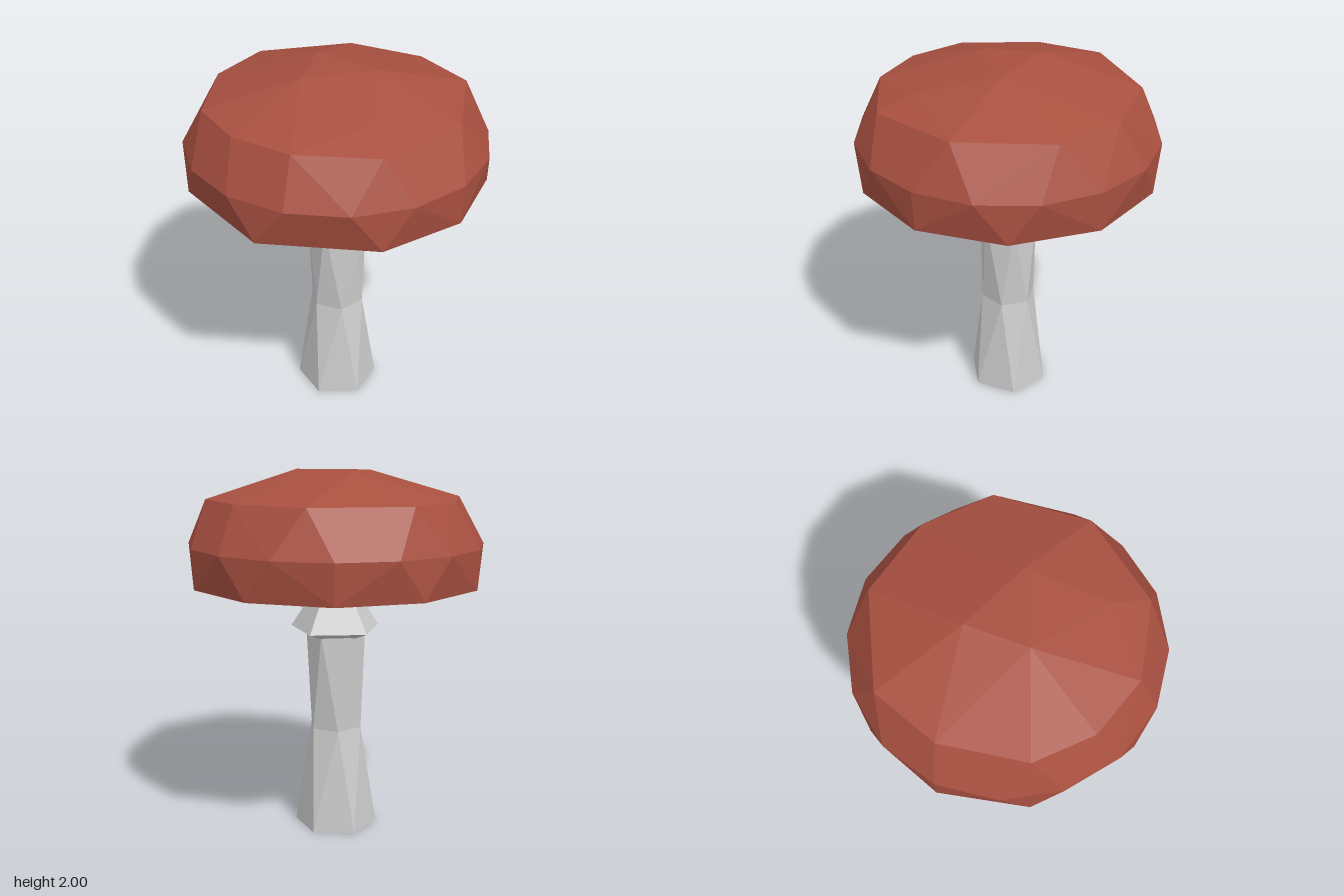
import * as THREE from 'three';
import { ConvexGeometry } from 'three/addons/geometries/ConvexGeometry.js';

// Point on a ring; angle in degrees from the front (+z) towards +x
const polar = (deg, r, y) => {
  const a = THREE.MathUtils.degToRad(deg);
  return new THREE.Vector3(Math.sin(a) * r, y, Math.cos(a) * r);
};

// Faceted closed loft through rings given as [y, radius, twist]
function facetedLoft(sides, rings) {
  const pts = [];
  const loops = rings.map(([y, r, twist]) =>
    Array.from({ length: sides }, (_, i) => polar(twist + (i * 360) / sides, r, y)));
  for (let k = 0; k < loops.length - 1; k++) {
    const a = loops[k], b = loops[k + 1];
    for (let i = 0; i < sides; i++) {
      const j = (i + 1) % sides;
      pts.push(a[i], a[j], b[i], a[j], b[j], b[i]);
    }
  }
  const bottom = loops[0], top = loops[loops.length - 1];
  for (let i = 1; i < sides - 1; i++) {
    pts.push(bottom[0], bottom[i + 1], bottom[i], top[0], top[i], top[i + 1]);
  }
  const geometry = new THREE.BufferGeometry().setFromPoints(pts);
  geometry.computeVertexNormals();
  return geometry;
}

export function createModel() {
  const capRed = new THREE.MeshStandardMaterial({ color: 0xa85040, flatShading: true });
  capRed.name = 'capRed';
  const stemGrey = new THREE.MeshStandardMaterial({ color: 0xcccccc, flatShading: true });
  stemGrey.name = 'stemGrey';

  const group = new THREE.Group();
  group.name = 'mushroom';
  const add = (name, geometry, material) => {
    const mesh = new THREE.Mesh(geometry, material);
    mesh.name = name;
    group.add(mesh);
  };

  // Stem: hexagonal, pinched halfway, each ring twisted against the last
  add('stem', facetedLoft(6, [[0, 0.23, -18], [0.58, 0.153, 20], [1.12, 0.162, 46]]), stemGrey);

  // Skirt around the stem, running up into the neck
  add('skirt', facetedLoft(5, [
    [1.105, 0.165, -41], [1.14, 0.257, -41], [1.305, 0.15, -41], [1.45, 0.13, -41],
  ]), stemGrey);

  // Cap: convex facets over an irregular rim, a wide belt, a shoulder and a crown
  const capPoints = [];
  for (const deg of [0, 34, 68, 102, 135, 168, 202, 236, 281, 326]) {
    capPoints.push(polar(deg, 0.793, 1.4));
  }
  for (let i = 0; i < 16; i++) capPoints.push(polar(i * 22.5, 0.8, 1.61));
  const shoulder = [
    [-0.22, -0.64], [0.15, -0.69], [0.57, -0.38], [0.67, 0.04], [0.56, 0.41],
    [0.13, 0.67], [-0.37, 0.59], [-0.63, 0.26], [-0.68, -0.07], [-0.58, -0.38],
  ];
  for (const [x, z] of shoulder) {
    capPoints.push(new THREE.Vector3(x, x === -0.37 ? 1.835 : 1.85, z));
  }
  const crown = [[0.1, 2, 0.2], [-0.21, 1.995, -0.05], [0.08, 1.997, -0.2], [-0.27, 1.9, 0.42]];
  for (const p of crown) capPoints.push(new THREE.Vector3(...p));
  add('cap', new ConvexGeometry(capPoints), capRed);

  return group;
}
